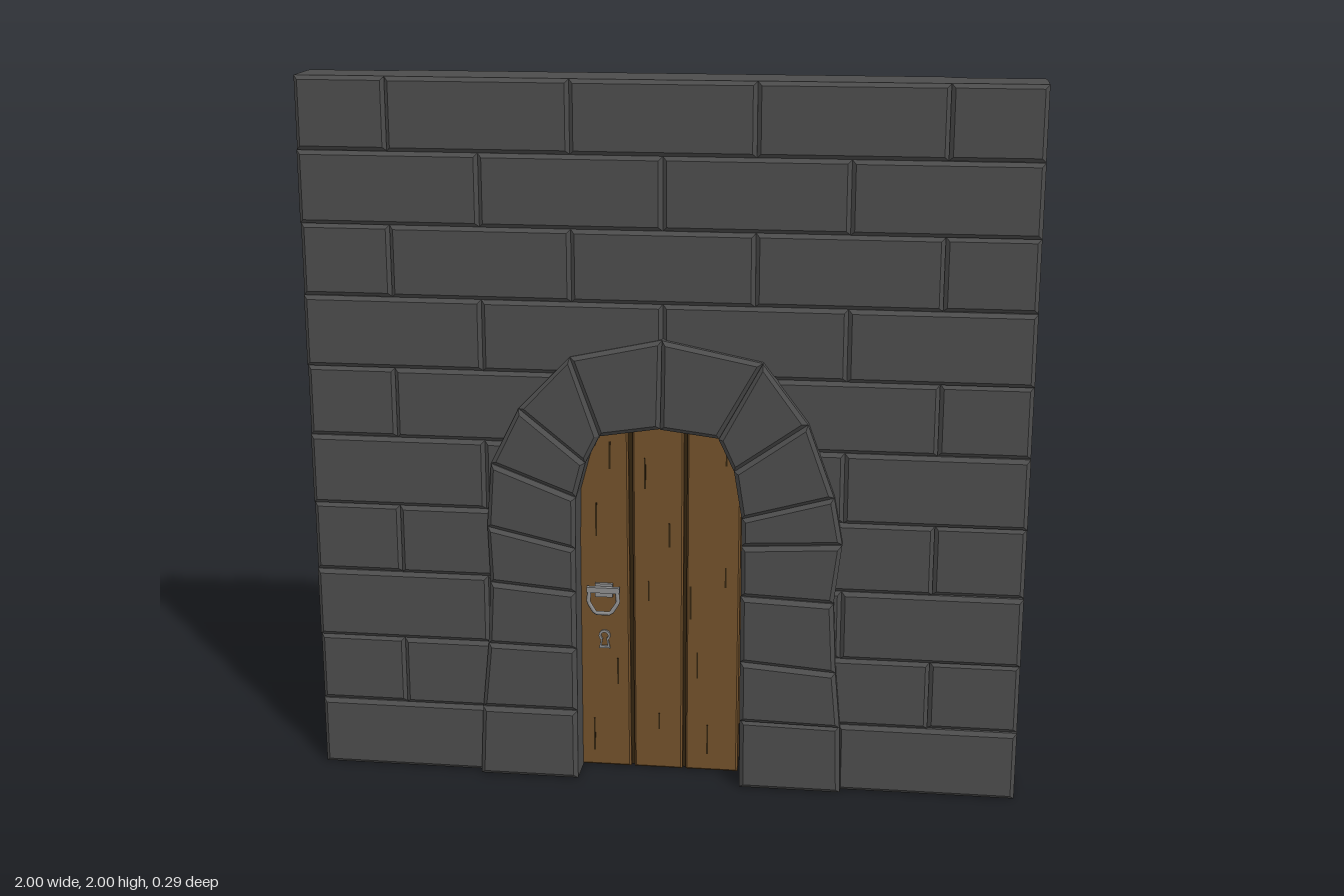
import * as THREE from 'three';

const mat = (name, color, side = THREE.FrontSide) => {
  const m = new THREE.MeshStandardMaterial({ color, side });
  m.name = name;
  return m;
};

export function createModel() {
  const stone = mat('dark stone', 0x4c4c4c);
  const wood = mat('brown wood', 0x71502a);
  const darkWood = mat('dark wood', 0x33240f);
  const metal = mat('grey metal', 0x8c8c8c);

  const root = new THREE.Group();
  root.name = 'stoneDoorway';
  const group = (name) => {
    const g = new THREE.Group();
    g.name = name;
    root.add(g);
    return g;
  };
  const add = (parent, name, geo, m, x = 0, y = 0, z = 0) => {
    const mesh = new THREE.Mesh(geo, m);
    mesh.name = name;
    mesh.position.set(x, y, z);
    parent.add(mesh);
    return mesh;
  };
  const box = (parent, name, m, w, h, d, x, y, z) =>
    add(parent, name, new THREE.BoxGeometry(w, h, d), m, x, y, z);

  // Polygon in x/y with chamfered front and back rims, from z = back to z = front
  const slab = (points, back, front, bevel) => {
    const shape = new THREE.Shape(points.map(([x, y]) => new THREE.Vector2(x, y)));
    const geo = new THREE.ExtrudeGeometry(shape, {
      depth: front - back - 2 * bevel, bevelEnabled: bevel > 0, bevelSegments: 1,
      bevelSize: bevel, bevelThickness: bevel, bevelOffset: -bevel,
    });
    geo.translate(0, 0, back + bevel);
    return geo;
  };

  // Mortar core with the door opening left free
  const wall = group('wall');
  add(wall, 'wallCore', slab([
    [-0.995, 0.003], [-0.3, 0.003], [-0.3, 1], [-0.22, 1], [-0.22, 1.12],
    [0.22, 1.12], [0.22, 1], [0.3, 1], [0.3, 0.003], [0.995, 0.003], [0.995, 1.99], [-0.995, 1.99],
  ], -0.055, 0.087, 0), stone);

  // Ten courses of bricks in running bond, cut at the opening
  for (let row = 0; row < 10; row++) {
    const odd = row % 2;
    const joints = odd ? [-1, -0.75, -0.25, 0.25, 0.75, 1] : [-1, -0.5, 0, 0.5, 1];
    const y0 = row * 0.2, y1 = y0 + 0.2;
    const half = row < 5 ? 0.3 : 0.25;
    for (let i = 0; i < joints.length - 1; i++) {
      const a = joints[i], b = joints[i + 1];
      const spans = row > 5 ? [[a, b]] : [[a, Math.min(b, -half)], [Math.max(a, half), b]];
      const outer = odd && (a === -1 || b === 1);
      const front = outer ? 0.1 : 0.106 + 0.003 * ((row + i) % 2);
      const back = odd && !outer ? -0.088 : -0.069;
      for (const [l, r] of spans) {
        if (r - l < 0.05) continue;
        add(wall, 'brick', slab([[l, y0], [r, y0], [r, y1], [l, y1]], back, front, 0.011), stone);
      }
    }
  }

  // Arch stones: joints run from inner edge to outer edge [xi, yi, xo, yo]
  const arch = group('archSurround');
  const sides = {
    left: {
      joints: [[0.222, 0, 0.51, 0], [0.222, 0.21, 0.505, 0.205], [0.222, 0.39, 0.49, 0.37],
        [0.222, 0.585, 0.48, 0.575], [0.222, 0.73, 0.5, 0.745], [0.222, 0.81, 0.475, 0.88],
        [0.2, 0.945, 0.4, 1.085], [0.157, 1.035, 0.275, 1.25], [-0.005, 1.055, 0, 1.305]],
      front: [0.132, 0.145, 0.145, 0.14, 0.135, 0.14, 0.14, 0.132],
      back: [-0.128, -0.122, -0.122, -0.127, -0.125, -0.13, -0.138, -0.125],
    },
    right: {
      joints: [[-0.245, 0, -0.53, 0], [-0.245, 0.21, -0.52, 0.21], [-0.245, 0.4, -0.5, 0.405],
        [-0.245, 0.57, -0.49, 0.59], [-0.245, 0.7, -0.495, 0.755], [-0.242, 0.85, -0.48, 0.94],
        [-0.215, 0.95, -0.4, 1.1], [-0.175, 1.028, -0.255, 1.25], [-0.005, 1.055, 0, 1.305]],
      front: [0.132, 0.128, 0.13, 0.128, 0.13, 0.125, 0.125, 0.125],
      back: [-0.128, -0.122, -0.125, -0.13, -0.143, -0.142, -0.135, -0.13],
    },
  };
  for (const [side, { joints, front, back }] of Object.entries(sides)) {
    for (let i = 0; i < 8; i++) {
      const [a, b, c, d] = joints[i], [e, f, g, h] = joints[i + 1];
      add(arch, side + 'ArchStone', slab([[a, b], [c, d], [g, h], [e, f]], back[i], front[i], 0.012), stone);
    }
  }

  // Door: three planks over a thin dark backing that shows in the grooves
  const door = group('door');
  const zf = 0.03, zb = -0.025;
  const planks = [
    [[-0.25, 0.003], [-0.103, 0.003], [-0.108, 1.05], [-0.17, 1.04], [-0.23, 0.95], [-0.25, 0.85]],
    [[-0.093, 0.003], [0.047, 0.003], [0.05, 1.065], [-0.005, 1.07], [-0.096, 1.055]],
    [[0.056, 0.003], [0.208, 0.003], [0.212, 0.95], [0.165, 1.04], [0.06, 1.065]],
  ];
  planks.forEach((p) => add(door, 'plank', slab(p, zb, zf, 0.005), wood));
  box(door, 'plankBacking', darkWood, 0.19, 1.03, 0.03, -0.02, 0.52, 0.002);

  // Grain cracks [x, y, length] on both faces
  const cracks = [[-0.2, 0.76, 0.1], [-0.21, 0.1, 0.1], [-0.16, 0.95, 0.08], [-0.14, 0.3, 0.08],
    [-0.05, 0.55, 0.06], [-0.02, 0.15, 0.05], [0.01, 0.72, 0.07], [-0.06, 0.9, 0.09],
    [0.09, 0.33, 0.08], [0.12, 0.1, 0.09], [0.17, 0.97, 0.08], [0.07, 0.52, 0.1], [0.17, 0.6, 0.06]];
  for (const [x, y, len] of cracks) {
    for (const z of [zf, zb]) box(door, 'woodCrack', darkWood, 0.005, len, 0.002, x, y, z);
  }

  // Hinge straps across the back
  for (const y of [0.235, 0.785]) box(door, 'hingeStrap', metal, 0.45, 0.062, 0.02, 0.02, y, zb - 0.009);

  // Drop handle and keyhole plate, front and back
  const v = (x, y, z) => new THREE.Vector3(x, y, z);
  const path = new THREE.CurvePath();
  const pts = [v(-0.04, 0, 0.022), v(-0.043, -0.03, 0.026), v(-0.022, -0.062, 0.03),
    v(0.022, -0.062, 0.03), v(0.043, -0.03, 0.026), v(0.04, 0, 0.022)];
  for (let i = 0; i < pts.length - 1; i++) path.add(new THREE.LineCurve3(pts[i], pts[i + 1]));
  const ringGeo = new THREE.TubeGeometry(path, 20, 0.006, 6);

  const keyShape = new THREE.Shape();
  keyShape.absarc(0, 0.01, 0.017, -0.9, Math.PI + 0.9);
  keyShape.lineTo(-0.016, -0.028);
  keyShape.lineTo(0.016, -0.028);
  const keyHole = new THREE.Path();
  keyHole.absarc(0, 0.01, 0.01, -1, Math.PI + 1);
  keyHole.lineTo(-0.009, -0.021);
  keyHole.lineTo(0.009, -0.021);
  keyShape.holes.push(keyHole);
  const keyGeo = new THREE.ExtrudeGeometry(keyShape, { depth: 0.006, bevelEnabled: false, curveSegments: 8 });

  for (const s of [1, -1]) {
    const fit = group(s > 0 ? 'frontHandle' : 'backHandle');
    fit.position.set(-0.178, 0.55, s > 0 ? zf : zb);
    if (s < 0) fit.rotation.y = Math.PI;
    box(fit, 'handlePlate', metal, 0.05, 0.04, 0.012, 0, 0, 0.005);
    box(fit, 'handleBar', metal, 0.095, 0.016, 0.014, 0, 0.006, 0.022);
    add(fit, 'handleRing', ringGeo, metal);
    add(fit, 'keyholePlate', keyGeo, metal, 0, -0.15, 0);
  }
  return root;
}
